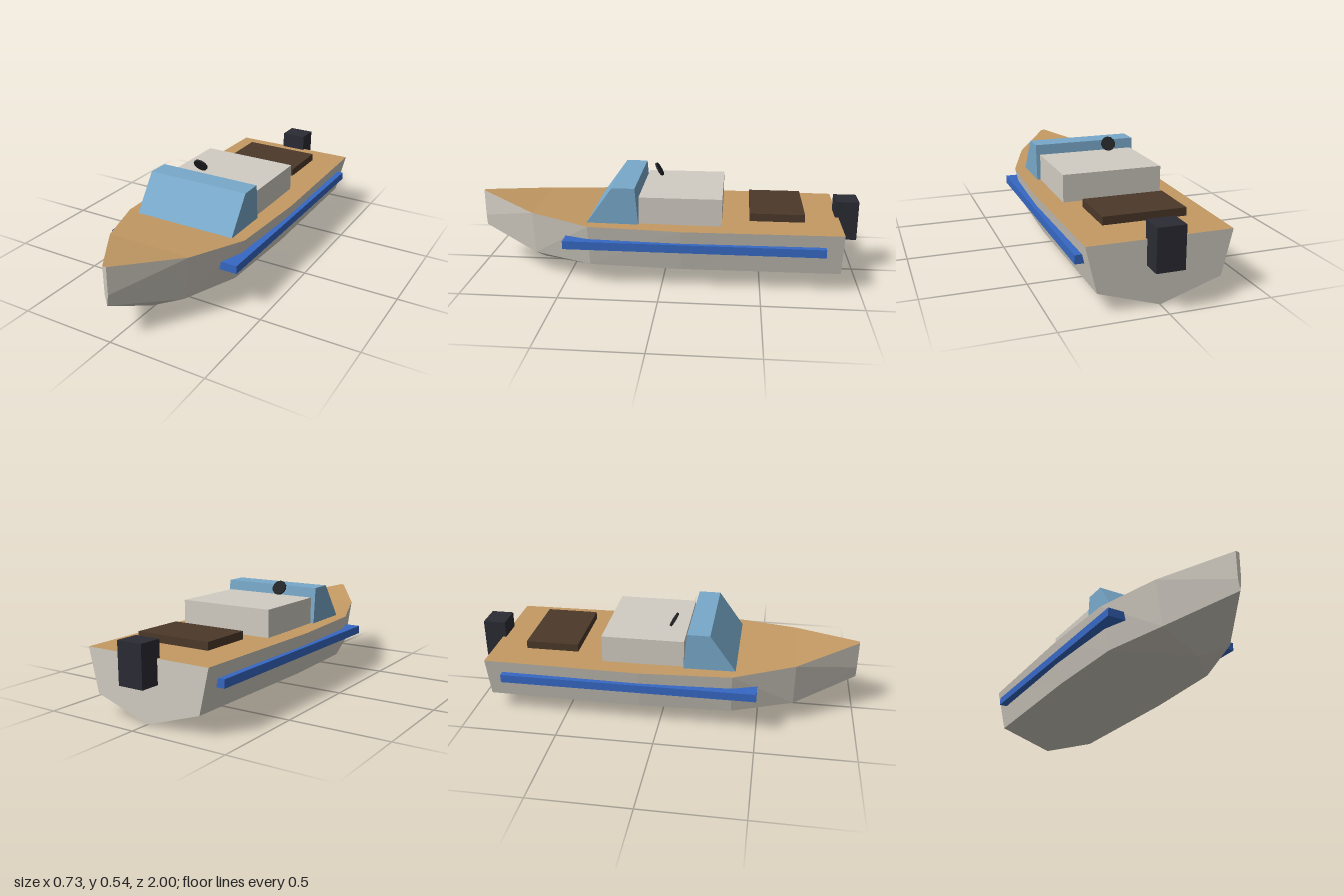
import * as THREE from 'three';

const material = (name, color) => {
  const m = new THREE.MeshStandardMaterial({ color, flatShading: true });
  m.name = name;
  return m;
};

// Flat-shaded geometry from a list of polygons, each fanned into triangles
function polygons(list) {
  const pos = [];
  for (const p of list) {
    for (let i = 1; i < p.length - 1; i++) pos.push(...p[0], ...p[i], ...p[i + 1]);
  }
  const g = new THREE.BufferGeometry();
  g.setAttribute('position', new THREE.Float32BufferAttribute(pos, 3));
  g.computeVertexNormals();
  return g;
}

export function createModel() {
  const boat = new THREE.Group();
  boat.name = 'motorboat';

  const hullMat = material('offWhite', 0xd2cdc3);
  const deckMat = material('wood', 0xc49a64);
  const glassMat = material('windscreenBlue', 0x78a9ca);
  const railMat = material('rubRailBlue', 0x3668c4);
  const hatchMat = material('darkWood', 0x4c392a);
  const motorMat = material('motorCharcoal', 0x2b2b34);
  const wheelMat = material('wheelBlack', 0x232427);

  const add = (name, geometry, mat) => {
    const mesh = new THREE.Mesh(geometry, mat);
    mesh.name = name;
    boat.add(mesh);
    return mesh;
  };
  // Box given by its limits on each axis
  const box = (name, mat, [x0, x1], [y0, y1], [z0, z1]) => {
    const mesh = add(name, new THREE.BoxGeometry(x1 - x0, y1 - y0, z1 - z0), mat);
    mesh.position.set((x0 + x1) / 2, (y0 + y1) / 2, (z0 + z1) / 2);
    return mesh;
  };

  // Hull stations: z, gunwale x, gunwale y, chine x, chine y, keel y
  const sections = [
    [-0.9, 0.347, 0.315, 0.295, 0.096, 0],
    [-0.1, 0.36, 0.315, 0.306, 0.096, 0],
    [0.37, 0.34, 0.32, 0.289, 0.098, 0.003],
    [0.68, 0.225, 0.345, 0.19, 0.114, 0.015],
    [1.0, 0.01, 0.392, 0.009, 0.25, 0.193],
  ].map(([z, gx, gy, cx, cy, ky]) => [
    [-gx, gy, z], [-cx, cy, z], [0, ky, z], [cx, cy, z], [gx, gy, z],
  ]);
  const hullFaces = [[...sections[0]].reverse(), sections[sections.length - 1]];
  const deckFaces = [];
  for (let j = 0; j < sections.length - 1; j++) {
    const a = sections[j], b = sections[j + 1];
    for (let i = 0; i < 4; i++) {
      // Mirror the fold of each panel about the keel
      hullFaces.push(i < 2
        ? [a[i], a[i + 1], b[i + 1], b[i]]
        : [a[i + 1], b[i + 1], b[i], a[i]]);
    }
    deckFaces.push([a[4], a[0], b[0], b[4]]);
  }
  add('hull', polygons(hullFaces), hullMat);
  add('deck', polygons(deckFaces), deckMat);

  // Cabin and rear hatch
  box('cabin', hullMat, [-0.258, 0.258], [0.312, 0.455], [-0.3, 0.12]);
  box('hatch', hatchMat, [-0.205, 0.205], [0.33, 0.37], [-0.715, -0.44]);

  // Windscreen: side profile (z, y) extruded across the boat
  const w = 0.276;
  const profile = new THREE.Shape([[-0.39, 0.312], [-0.12, 0.312], [-0.137, 0.505], [-0.252, 0.505]]
    .map(([x, y]) => new THREE.Vector2(x, y)));
  const screen = new THREE.ExtrudeGeometry(profile, { depth: 2 * w, bevelEnabled: false });
  screen.translate(0, 0, -w).rotateY(Math.PI / 2);
  add('windscreen', screen, glassMat);

  // Side rub rails
  for (const s of [-1, 1]) {
    const xs = s > 0 ? [0.22, 0.366] : [-0.366, -0.22];
    box(s > 0 ? 'leftRail' : 'rightRail', railMat, xs, [0.206, 0.248], [-0.815, 0.495]);
  }

  // Outboard motor on the transom
  box('outboardMotor', motorMat, [-0.068, 0.068], [0.195, 0.4], [-1, -0.882]);

  // Tilted steering wheel
  const wheel = add('steeringWheel', new THREE.CylinderGeometry(0.039, 0.039, 0.01, 12), wheelMat);
  wheel.position.set(-0.105, 0.504, 0.05);
  wheel.rotation.x = -1.03;

  return boat;
}
